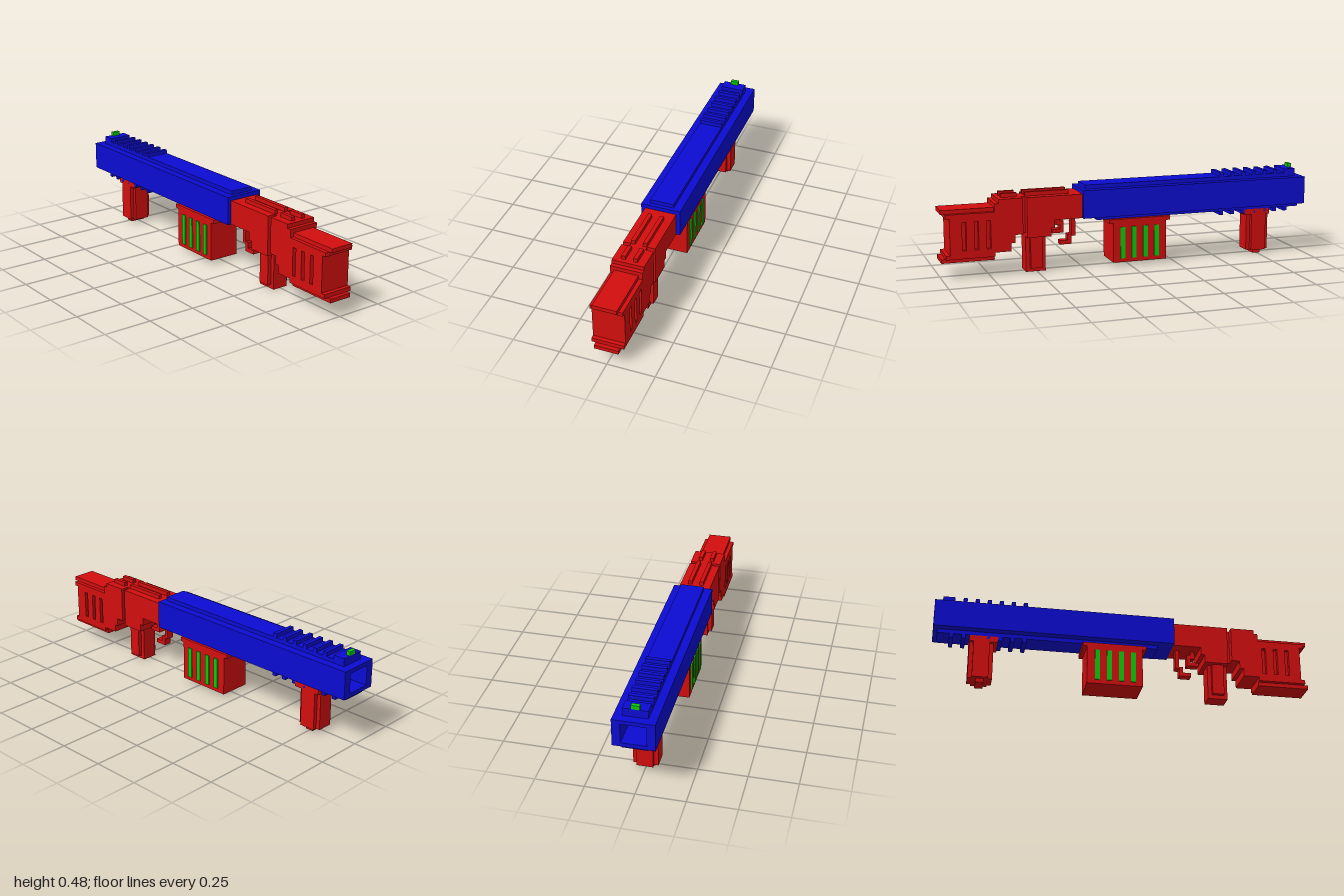
import * as THREE from 'three';

const V = 2 / 95; // one block of the grid

export function createModel() {
  const root = new THREE.Group();
  const mat = (name, color) => {
    const m = new THREE.MeshStandardMaterial({ color });
    m.name = name;
    return m;
  };
  const blue = mat('blue', 0x0c0cd2);
  const red = mat('red', 0xd20e0e);
  const green = mat('green', 0x0cc80c);

  const group = (name) => {
    const g = new THREE.Group();
    g.name = name;
    root.add(g);
    return g;
  };
  // box from block ranges: x counted from the muzzle, y from the ground, z from the centre
  const box = (g, name, m, x0, x1, y0, y1, z0, z1) => {
    const mesh = new THREE.Mesh(new THREE.BoxGeometry((x1 - x0) * V, (y1 - y0) * V, (z1 - z0) * V), m);
    mesh.position.set(((x0 + x1) / 2 - 47.5) * V, ((y0 + y1) / 2) * V, ((z0 + z1) / 2) * V);
    mesh.name = name;
    g.add(mesh);
  };
  const mid = (g, name, m, x0, x1, y0, y1, w) => box(g, name, m, x0, x1, y0, y1, -w, w);
  const pair = (g, name, m, x0, x1, y0, y1, z0, z1) => {
    box(g, name, m, x0, x1, y0, y1, z0, z1);
    box(g, name, m, x0, x1, y0, y1, -z1, -z0);
  };

  // hollow barrel housing
  const barrel = group('barrel');
  mid(barrel, 'barrelFloor', blue, 0, 60, 13, 14, 5);
  mid(barrel, 'barrelRoof', blue, 0, 60, 19, 20, 5);
  pair(barrel, 'barrelWall', blue, 0, 60, 14, 19, 3, 5);
  mid(barrel, 'barrelEnd', blue, 58, 60, 14, 19, 3);
  mid(barrel, 'topPlate', blue, 2, 59, 20, 21, 3);
  mid(barrel, 'bottomPlate', blue, 1, 56, 12, 13, 3);

  // rail ribs above and below
  const rails = group('rails');
  mid(rails, 'frontRib', blue, 2, 5, 21, 22, 3);
  mid(rails, 'lowerFrontRib', blue, 4, 5, 11, 12, 3);
  for (let x = 7; x <= 22; x += 3) {
    mid(rails, 'topRib', blue, x, x + 1, 21, 22, 3);
    mid(rails, 'lowerRib', blue, x, x + 1, 11, 12, 3);
  }
  mid(rails, 'frontSight', green, 2, 3, 22, 23, 1);

  // front grip with a stepped cross-section
  const grip = group('frontGrip');
  mid(grip, 'gripCore', red, 9, 15, 1, 13, 2);
  mid(grip, 'gripSides', red, 10, 14, 1, 12, 3);
  mid(grip, 'gripCollar', red, 9, 16, 10.5, 12, 3);
  mid(grip, 'gripFoot', red, 11, 13, 0, 1, 2);

  // magazine with bright bars on both sides
  const magazine = group('magazine');
  mid(magazine, 'magazineBody', red, 38, 52, 1, 12, 4);
  mid(magazine, 'magazineLip', red, 37, 53, 11, 12.02, 4);
  for (let x = 40; x <= 49; x += 3) pair(magazine, 'magazineBar', green, x, x + 1.2, 2, 10, 4, 4.3);

  // receiver
  const receiver = group('receiver');
  mid(receiver, 'receiverFront', red, 60, 74, 13, 19, 4);
  mid(receiver, 'receiverLower', red, 67, 74, 11, 13, 4);
  mid(receiver, 'receiverBase', red, 68, 74, 9, 11, 4);
  mid(receiver, 'receiverNeck', red, 74, 75, 10, 19, 2);
  mid(receiver, 'receiverRear', red, 75, 81, 10, 19, 4);
  pair(receiver, 'rearSightRail', red, 63, 74, 19, 20, 1, 2);
  pair(receiver, 'rearSightRail', red, 76, 80, 19, 20, 1, 2);

  // trigger and its guard
  const trigger = group('trigger');
  mid(trigger, 'guardPost', red, 61, 62, 8, 13, 1);
  mid(trigger, 'guardCorner', red, 62, 63, 7, 8.5, 1);
  mid(trigger, 'guardBase', red, 62, 65, 6, 7, 1);
  mid(trigger, 'triggerBlade', red, 64, 65, 9, 12, 1);
  mid(trigger, 'triggerFoot', red, 65, 67, 9, 10, 1);
  mid(trigger, 'triggerTop', red, 65, 66, 11, 13, 1);

  // rear grip
  const rearGrip = group('rearGrip');
  mid(rearGrip, 'rearGripCore', red, 69, 74, 0, 9, 2);
  mid(rearGrip, 'rearGripPanel', red, 70, 73, 1, 9, 3);

  // shoulder stock with slotted sides
  const stock = group('stock');
  mid(stock, 'stockStep', red, 77, 78, 8, 10, 4);
  mid(stock, 'stockFront', red, 78, 82, 6, 10, 4);
  mid(stock, 'stockShoulder', red, 81, 82, 10, 18, 4);
  mid(stock, 'stockCore', red, 82, 93, 6, 16, 3);
  pair(stock, 'stockSideTop', red, 82, 93, 14, 16, 3, 4);
  pair(stock, 'stockSideBottom', red, 82, 93, 6, 7, 3, 4);
  for (const [a, b] of [[82, 83], [84, 86], [87, 89], [90, 93]]) pair(stock, 'stockSidePanel', red, a, b, 7, 14, 3, 4);
  mid(stock, 'upperFlange', red, 93, 94, 15, 16, 4);
  mid(stock, 'topBar', red, 82, 95, 16, 17, 3);
  mid(stock, 'lowerFlange', red, 82, 94, 5, 6, 4);
  mid(stock, 'bottomBar', red, 82, 95, 4, 5, 3);

  return root;
}
